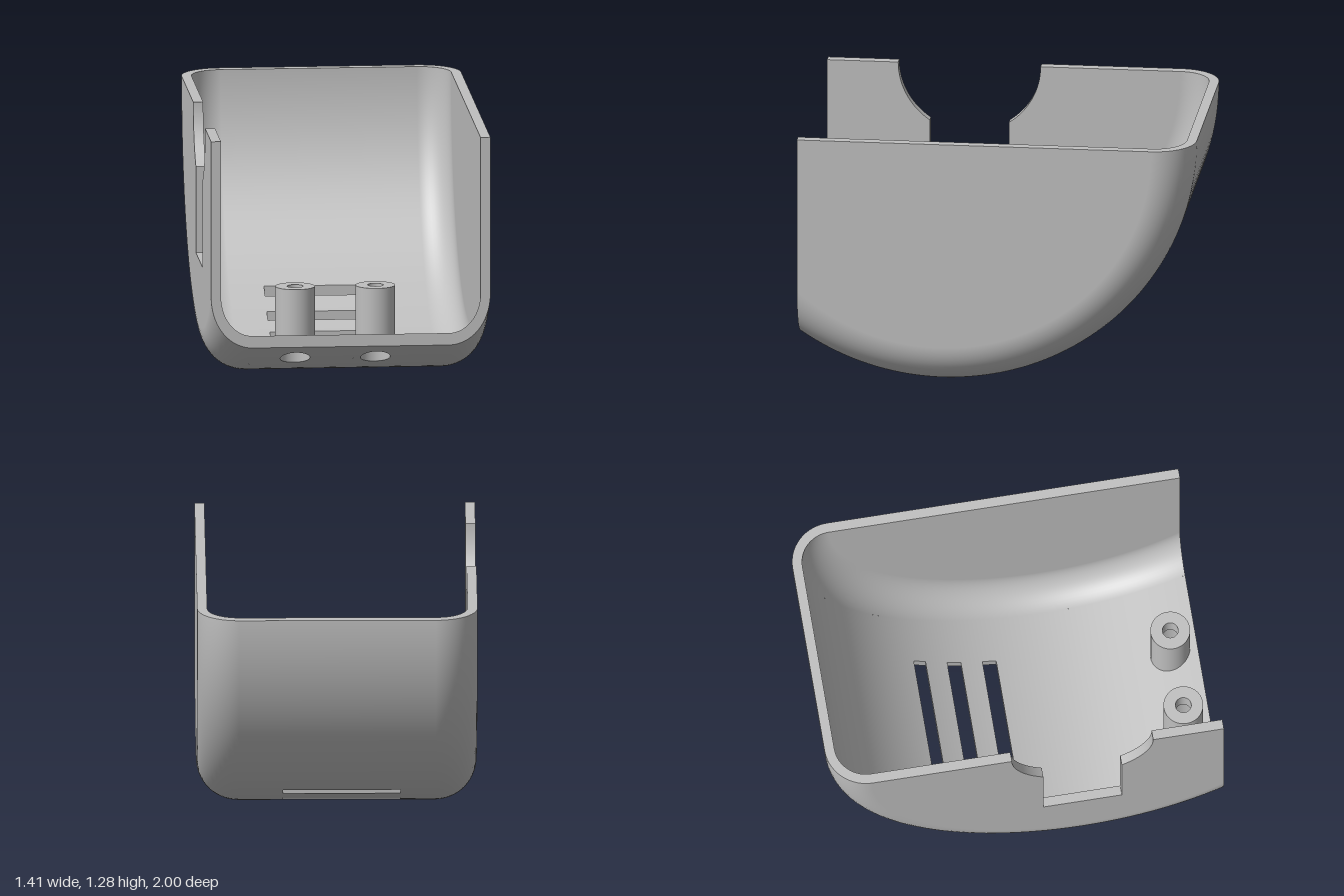
import * as THREE from 'three';
import { mergeGeometries } from 'three/addons/utils/BufferGeometryUtils.js';

// The shell is turned about a sideways axis through (y = TOP, z = AXIS)
const TOP = 1.28, AXIS = 0.28, FRONT = 1;
const R_OUT = 1.28, R_IN = 1.23, R_WALL = 1.07;
const FLAT = 0.495, HALF = 0.705, THICK = 0.05;
const SLOT_X = [-0.32, 0.27];
const SLOTS = [[-0.42, -0.36], [-0.25, -0.18], [-0.07, 0]];
const POST_X = [-0.27, 0.135], POST_Z = 0.865, POST_TOP = 0.51, SHOULDER = 0.41;
const POST_R = 0.1, BORE_R = 0.04, RECESS_R = 0.075, CELL = 0.11;

const mix = (a, b, t) => a + (b - a) * t;
const heightAt = (r, z) => TOP - Math.sqrt(r * r - (z - AXIS) ** 2);
const onShell = (r, x, z) => [x, heightAt(r, z), z];
const turned = (r, x, a) => [x, TOP - r * Math.sin(a), AXIS - r * Math.cos(a)];

// Smooth patch from f(u, v); it faces du x dv unless flipped
function patch(f, nu, nv, flip = false) {
  const pos = [], nor = [], idx = [], e = 1e-4;
  const at = (u, v) => new THREE.Vector3(...f(u, v));
  for (let j = 0; j <= nv; j++) {
    for (let i = 0; i <= nu; i++) {
      const u = i / nu, v = j / nv;
      const du = at(u + e, v).sub(at(u - e, v));
      const dv = at(u, v + e).sub(at(u, v - e));
      const n = du.cross(dv).normalize().multiplyScalar(flip ? -1 : 1);
      pos.push(...f(u, v));
      nor.push(n.x, n.y, n.z);
      if (i < nu && j < nv) {
        const a = j * (nu + 1) + i, b = a + 1, c = a + nu + 1, d = c + 1;
        if (flip) idx.push(a, c, b, b, c, d);
        else idx.push(a, b, c, b, d, c);
      }
    }
  }
  const g = new THREE.BufferGeometry();
  g.setAttribute('position', new THREE.Float32BufferAttribute(pos, 3));
  g.setAttribute('normal', new THREE.Float32BufferAttribute(nor, 3));
  g.setIndex(idx);
  return g;
}

// Curved floor with vent slots and screw holes
function floorParts() {
  const out = [];
  for (const [r, inner] of [[R_OUT, false], [R_IN, true]]) {
    const cell = (x0, x1, z0, z1) => out.push(patch(
      (u, v) => onShell(r, mix(x0, x1, u), mix(z0, z1, v)),
      1, Math.max(2, Math.ceil((z1 - z0) / 0.04)), inner));
    // steep back part, up to the first slot
    const end = Math.acos((AXIS - SLOTS[0][0]) / r);
    out.push(patch((u, v) => turned(r, mix(-FLAT, FLAT, u), v * end), 1, 32, inner));
    // slot bands and the strips between them
    SLOTS.forEach(([z0, z1], i) => {
      cell(-FLAT, SLOT_X[0], z0, z1);
      cell(SLOT_X[1], FLAT, z0, z1);
      cell(-FLAT, FLAT, z1, i < 2 ? SLOTS[i + 1][0] : POST_Z - CELL);
    });
    // band with the two round holes
    const za = POST_Z - CELL, zb = POST_Z + CELL;
    let x = -FLAT;
    for (const px of POST_X) {
      cell(x, px - CELL, za, zb);
      x = px + CELL;
      const hole = inner ? POST_R : RECESS_R;
      out.push(patch((u, v) => {
        const c = Math.cos(u * Math.PI * 2), s = Math.sin(u * Math.PI * 2);
        const d = mix(hole, CELL / Math.max(Math.abs(c), Math.abs(s)), v);
        return onShell(r, px + d * c, POST_Z + d * s);
      }, 48, 2, !inner));
    }
    cell(x, FLAT, za, zb);
    cell(-FLAT, FLAT, zb, FRONT);
  }
  // cut faces at the front and at the top of the back
  out.push(patch((u, v) => onShell(mix(R_IN, R_OUT, v), mix(-FLAT, FLAT, u), FRONT), 1, 1, true));
  out.push(patch((u, v) => turned(mix(R_IN, R_OUT, v), mix(-FLAT, FLAT, u), 0), 1, 1));
  // slot sides
  for (const zs of SLOTS) {
    for (const k of [0, 1]) {
      out.push(patch((u, v) => onShell(mix(R_IN, R_OUT, v), mix(...SLOT_X, u), zs[k]), 1, 1, k === 0));
      out.push(patch((u, v) => onShell(mix(R_IN, R_OUT, v), SLOT_X[k], mix(...zs, u)), 2, 1, k === 1));
    }
  }
  return out;
}

// Rounded edge between floor and side wall
function cornerParts(side) {
  const section = (fillet, u) => [
    side * (FLAT + fillet * Math.sin(u * Math.PI / 2)),
    R_WALL + fillet * Math.cos(u * Math.PI / 2)];
  const sweep = (fillet, flip) => patch((u, v) => {
    const [x, r] = section(fillet, u);
    return turned(r, x, v * (Math.PI - Math.acos((FRONT - AXIS) / r)));
  }, 14, 64, flip);
  const outer = R_OUT - R_WALL, inner = R_IN - R_WALL, left = side > 0;
  const rim = (place, flip) => patch((u, v) => {
    const [x, r] = section(mix(inner, outer, v), u);
    return place(r, x);
  }, 14, 1, flip);
  return [
    sweep(outer, !left), sweep(inner, left),
    rim((r, x) => onShell(r, x, FRONT), left),
    rim((r, x) => turned(r, x, 0), !left),
  ];
}

// Flat side wall; the right one has a keyhole-shaped notch
function wallGeometry(side) {
  const s = new THREE.Shape();
  s.moveTo(FRONT, TOP);
  if (side < 0) {
    const r = 0.36, w = 0.2, a = Math.acos(w / r);
    s.lineTo(AXIS + r, TOP);
    s.absarc(AXIS, TOP, r, 0, -a, true);
    s.lineTo(AXIS + w, 0.54);
    s.lineTo(AXIS - w, 0.54);
    s.absarc(AXIS, TOP, r, a - Math.PI, -Math.PI, true);
  }
  s.lineTo(AXIS - R_WALL, TOP);
  s.absarc(AXIS, TOP, R_WALL, Math.PI, 2 * Math.PI - Math.acos((FRONT - AXIS) / R_WALL), false);
  s.closePath();
  const g = new THREE.ExtrudeGeometry(s, { depth: THICK, bevelEnabled: false, curveSegments: 64 });
  g.rotateY(-Math.PI / 2);
  g.translate(side > 0 ? HALF : THICK - HALF, 0, 0);
  return g;
}

// Hollow screw post, recessed from below
function postParts(px) {
  const ring = (rad, u) => [px + rad * Math.cos(u * Math.PI * 2), POST_Z + rad * Math.sin(u * Math.PI * 2)];
  const tube = (rad, bottom, top, flip) => patch((u, v) => {
    const [x, z] = ring(rad, u);
    return [x, mix(bottom(z), top, v), z];
  }, 48, 1, flip);
  const disc = (r0, r1, y, flip) => patch((u, v) => {
    const [x, z] = ring(mix(r0, r1, v), u);
    return [x, y, z];
  }, 48, 1, flip);
  return [
    tube(POST_R, z => heightAt(R_IN, z), POST_TOP, true),
    disc(BORE_R, POST_R, POST_TOP, false),
    tube(BORE_R, () => SHOULDER, POST_TOP, false),
    disc(BORE_R, RECESS_R, SHOULDER, true),
    tube(RECESS_R, z => heightAt(R_OUT, z), SHOULDER, false),
  ];
}

export function createModel() {
  const group = new THREE.Group();
  group.name = 'openHousing';
  const grey = new THREE.MeshStandardMaterial({ color: 0xbfbfbf, side: THREE.DoubleSide });
  grey.name = 'lightGrey';
  const add = (name, geometry) => {
    const mesh = new THREE.Mesh(geometry, grey);
    mesh.name = name;
    group.add(mesh);
  };
  add('curvedFloor', mergeGeometries(floorParts()));
  for (const [label, side] of [['left', 1], ['right', -1]]) {
    add(label + 'RoundedEdge', mergeGeometries(cornerParts(side)));
    add(label + 'Wall', wallGeometry(side));
  }
  add('rightScrewPost', mergeGeometries(postParts(POST_X[0])));
  add('leftScrewPost', mergeGeometries(postParts(POST_X[1])));
  return group;
}
